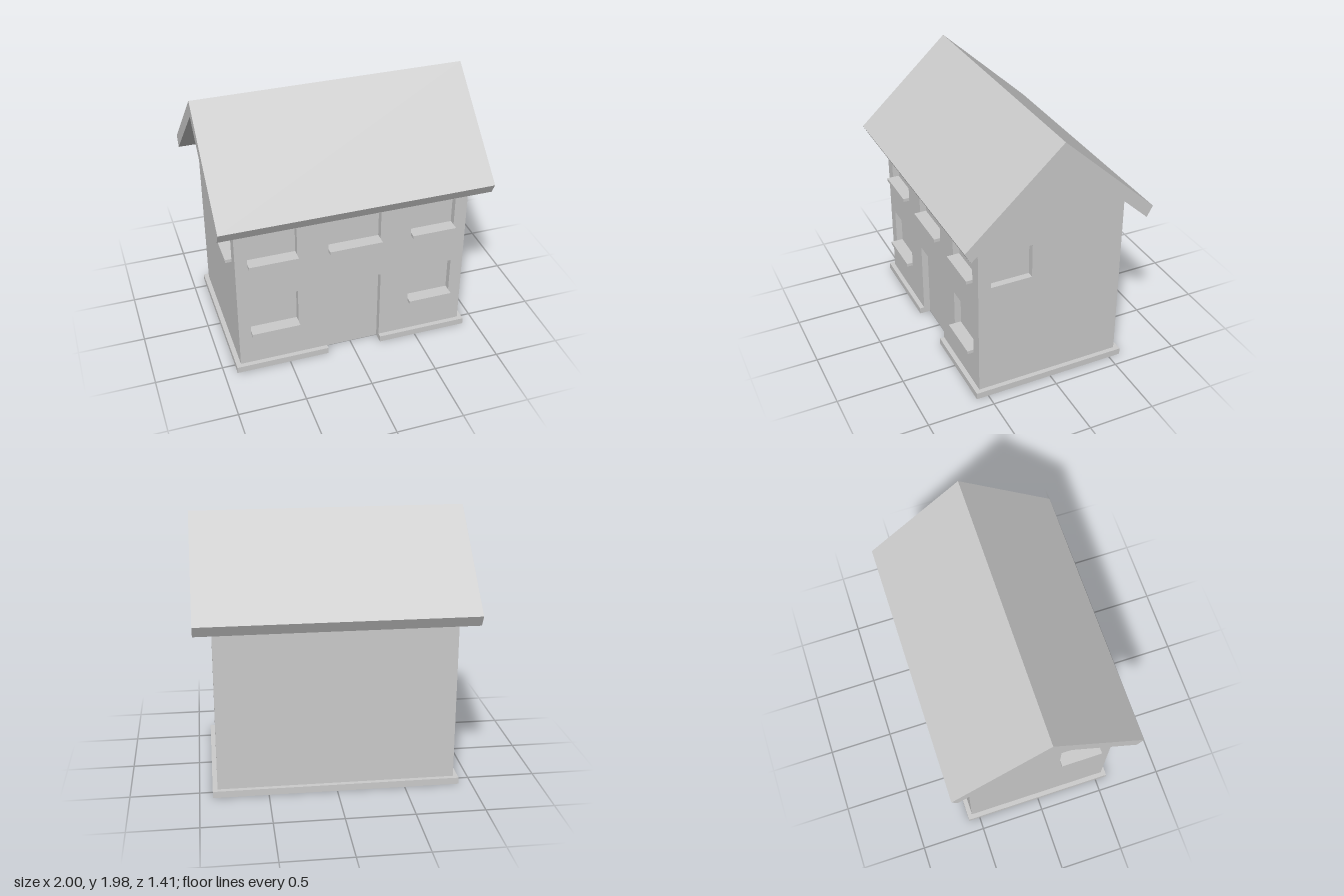
import * as THREE from 'three';

const MAT = new THREE.MeshStandardMaterial({ color: 0xcccccc, side: THREE.DoubleSide, flatShading: true });
const W = 0.87, D = 0.555;           // half width and half depth of the walls
const EAVE = 1.351, PEAK = 1.86;     // wall heights under the roof
const RECESS = 0.05, SILL = 0.025;   // pocket depth, sill thickness
const DOOR = { x0: -0.2, x1: 0.215, y1: 0.625 };

function mesh(name, geometry) {
  const m = new THREE.Mesh(geometry, MAT);
  m.name = name;
  return m;
}

const outline = pts => new THREE.Shape(pts.map(p => new THREE.Vector2(...p)));

// Recess behind an opening: a box without its front (and, for the door, its bottom)
function pocket(name, { x0, x1, y0, y1 }, openBottom = false) {
  const g = new THREE.BoxGeometry(x1 - x0, y1 - y0, RECESS);
  const index = Array.from(g.index.array);
  g.setIndex(index.filter((_, i) => !(i >= 24 && i < 30) && !(openBottom && i >= 18 && i < 24)));
  g.clearGroups();
  g.translate((x0 + x1) / 2, (y0 + y1) / 2, -RECESS / 2);
  return mesh(name, g);
}

// Thin wall facing local +z, with recessed windows and optional sills
function wall(name, pts, windows = []) {
  const group = new THREE.Group();
  group.name = name;
  const shape = outline(pts);
  for (const w of windows) {
    const { x0, x1, y0, y1 } = w;
    shape.holes.push(new THREE.Path([[x0, y0], [x0, y1], [x1, y1], [x1, y0]].map(p => new THREE.Vector2(...p))));
    group.add(pocket('windowRecess', w));
    if (w.sill) {
      const s = mesh('windowSill', new THREE.BoxGeometry(x1 - x0, SILL, RECESS * 1.9));
      s.position.set((x0 + x1) / 2, y0 + SILL / 2, 0);
      group.add(s);
    }
  }
  group.add(mesh(name + 'Surface', new THREE.ShapeGeometry(shape)));
  return group;
}

export function createModel() {
  const house = new THREE.Group();
  house.name = 'house';

  // Front wall with a notch for the door
  const win = (x0, x1, y0, y1) => ({ x0, x1, y0, y1, sill: true });
  const front = wall('frontWall', [
    [-W, 0], [DOOR.x0, 0], [DOOR.x0, DOOR.y1], [DOOR.x1, DOOR.y1], [DOOR.x1, 0],
    [W, 0], [W, EAVE], [-W, EAVE],
  ], [
    win(-0.78, -0.42, 0.925, 1.175), win(-0.19, 0.205, 0.925, 1.175), win(0.44, 0.775, 0.925, 1.175),
    win(-0.78, -0.42, 0.32, 0.625), win(0.44, 0.775, 0.32, 0.625),
  ]);
  front.add(pocket('doorRecess', { ...DOOR, y0: 0 }, true));
  front.position.z = D;
  house.add(front);

  // Back wall
  const back = wall('backWall', [[-W, 0], [W, 0], [W, EAVE], [-W, EAVE]]);
  back.rotation.y = Math.PI;
  back.position.z = -D;
  house.add(back);

  // Gable walls, one window each; only the right one has a sill
  const gable = [[-D, 0], [D, 0], [D, EAVE], [0, PEAK], [-D, EAVE]];
  const left = wall('leftGable', gable, [{ x0: -0.46, x1: -0.15, y0: 0.915, y1: 1.175 }]);
  left.rotation.y = Math.PI / 2;
  left.position.x = W;
  const right = wall('rightGable', gable, [win(0.15, 0.46, 0.925, 1.175)]);
  right.rotation.y = -Math.PI / 2;
  right.position.x = -W;
  house.add(left, right);

  // Plinth strip around the foot, interrupted at the door
  const px = 0.905, pz = 0.59;
  const plinth = new THREE.ExtrudeGeometry(outline([
    [DOOR.x0, -pz], [-px, -pz], [-px, pz], [px, pz], [px, -pz], [DOOR.x1, -pz],
    [DOOR.x1, -D], [W, -D], [W, D], [-W, D], [-W, -D], [DOOR.x0, -D],
  ]), { depth: 0.05, bevelEnabled: false });
  plinth.rotateX(-Math.PI / 2);
  house.add(mesh('plinth', plinth));

  // Pitched roof slab
  const roof = new THREE.ExtrudeGeometry(outline([
    [0, 1.98], [-0.703, 1.335], [-0.66, 1.255], [0, PEAK], [0.66, 1.255], [0.703, 1.335],
  ]), { depth: 2, bevelEnabled: false });
  roof.translate(0, 0, -1);
  roof.rotateY(Math.PI / 2);
  house.add(mesh('roof', roof));

  return house;
}
